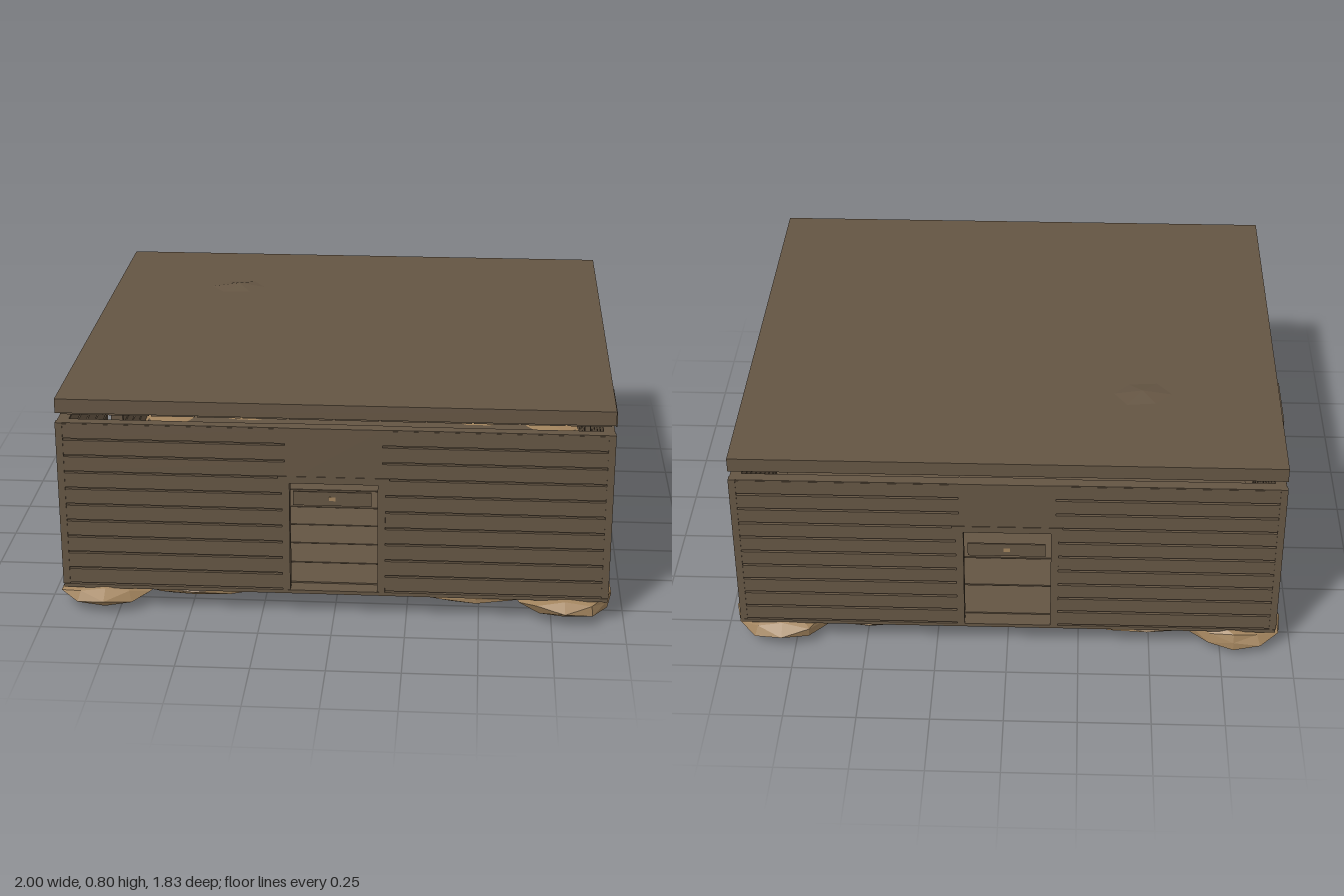
import * as THREE from 'three';

export function createModel() {
  const root = new THREE.Group();
  const wood = new THREE.MeshStandardMaterial({ color: 0x645543, flatShading: true });
  wood.name = 'weathered wood';
  const stone = new THREE.MeshStandardMaterial({ color: 0xa0825c, flatShading: true });
  stone.name = 'tan stone';

  const box = (parent, name, w, h, d, x, y, z, mat = wood) => {
    const m = new THREE.Mesh(new THREE.BoxGeometry(w, h, d), mat);
    m.name = name;
    m.position.set(x, y, z);
    parent.add(m);
    return m;
  };

  // Faceted boulder: matching corners get the same jitter so it stays closed
  const rock = (name, x, y, z, rx, ry, rz, seed, mat = stone) => {
    const g = new THREE.IcosahedronGeometry(1, 1);
    const p = g.attributes.position;
    for (let i = 0; i < p.count; i++) {
      const a = p.getX(i), b = p.getY(i), c = p.getZ(i);
      const k = 1 + 0.09 * Math.sin(a * 5.1 + b * 7.3 + c * 3.7 + seed * 2.4);
      p.setXYZ(i, a * k * rx, b * ry, c * k * rz);
    }
    g.computeVertexNormals();
    const m = new THREE.Mesh(g, mat);
    m.name = name;
    m.position.set(x, y, z);
    root.add(m);
  };

  const HX = 0.94, HZ = 0.855, Y0 = 0.1, Y1 = 0.7, DOOR = 0.15, DOOR_TOP = 0.5;

  // Floor slab with planks
  box(root, 'floorSlab', HX * 2, 0.013, HZ * 2, 0, 0.0915, 0);
  for (let i = 0; i < 10; i++) {
    box(root, 'floorPlank', 1.78, 0.006, 0.154, 0, 0.1, -0.72 + i * 0.16);
  }

  // One wall: outer face at local z = 0, doorway in the middle
  const makeWall = (name, half) => {
    const wall = new THREE.Group();
    wall.name = name;
    const rows = 10, pitch = (Y1 - Y0) / rows;
    const len = half - DOOR;
    for (const s of [-1, 1]) {
      const x = s * (DOOR + len / 2);
      box(wall, 'wallCore', len - 0.02, Y1 - Y0, 0.016, x - s * 0.01, (Y0 + Y1) / 2, -0.02);
      for (let r = 0; r < rows; r++) {
        const y = Y0 + (r + 0.5) * pitch;
        for (const z of [-0.006, -0.034]) {
          box(wall, 'sidingBoard', len - 0.02, pitch - 0.008, 0.012, x - s * 0.01, y, z);
        }
      }
      box(wall, 'doorPost', 0.026, DOOR_TOP - Y0, 0.046, s * 0.163, (Y0 + DOOR_TOP) / 2, -0.02);
    }
    // Plain panel, lintel and top plate above the doorway
    box(wall, 'doorHeader', DOOR * 2 + 0.03, Y1 - DOOR_TOP, 0.044, 0, (Y1 + DOOR_TOP) / 2, -0.021);
    box(wall, 'lintel', 0.38, 0.025, 0.047, 0, DOOR_TOP + 0.0125, -0.0205);
    box(wall, 'topPlate', half * 2 - 0.04, 0.012, 0.038, 0, Y1 - 0.006, -0.02);
    root.add(wall);
    return wall;
  };

  // Four walls, each with a free-hanging sign before its doorway
  const sides = [
    ['frontWall', HX, HZ, 0.91], ['leftWall', HZ, HX, 0.996],
    ['backWall', HX, HZ, 0.91], ['rightWall', HZ, HX, 0.996],
  ];
  sides.forEach(([name, half, out, signOut], i) => {
    const turn = new THREE.Group();
    turn.name = name + 'Side';
    turn.rotation.y = i * Math.PI / 2;
    const wall = makeWall(name, half);
    wall.position.z = out;
    turn.add(wall);
    box(turn, 'signBoard', 0.264, 0.05, 0.006, 0, 0.47, signOut);
    box(turn, 'signPlate', 0.022, 0.014, 0.008, 0, 0.47, signOut, stone);
    root.add(turn);
  });

  // Corner posts
  for (const sx of [-1, 1]) for (const sz of [-1, 1]) {
    box(root, 'cornerPost', 0.024, Y1 - Y0, 0.024, sx * (HX - 0.01), (Y0 + Y1) / 2, sz * (HZ - 0.01));
  }

  // Flat roof raised above the walls, with ceiling boards below
  box(root, 'roof', HX * 2, 0.05, HZ * 2, 0, 0.76, 0);
  for (let i = 0; i < 12; i++) {
    box(root, 'ceilingBoard', 0.147, 0.01, 1.68, -0.852 + i * 0.155, 0.73, 0);
  }

  // Faceted lump breaking through the roof
  rock('roofLump', -0.46, 0.7, -0.41, 0.205, 0.1, 0.165, 1, wood);

  // Foundation stones: a boulder at each corner and two slabs trailing along the edges
  let seed = 1;
  for (const sx of [-1, 1]) for (const sz of [-1, 1]) {
    rock('cornerBoulder', sx * 0.795, 0.058, sz * 0.725, 0.178, 0.056, 0.175, seed++);
    rock('edgeStone', sx * 0.49, 0.073, sz * 0.745, 0.25, 0.034, 0.1, seed++);
    rock('edgeStone', sx * 0.83, 0.073, sz * 0.46, 0.1, 0.034, 0.23, seed++);
  }
  return root;
}
